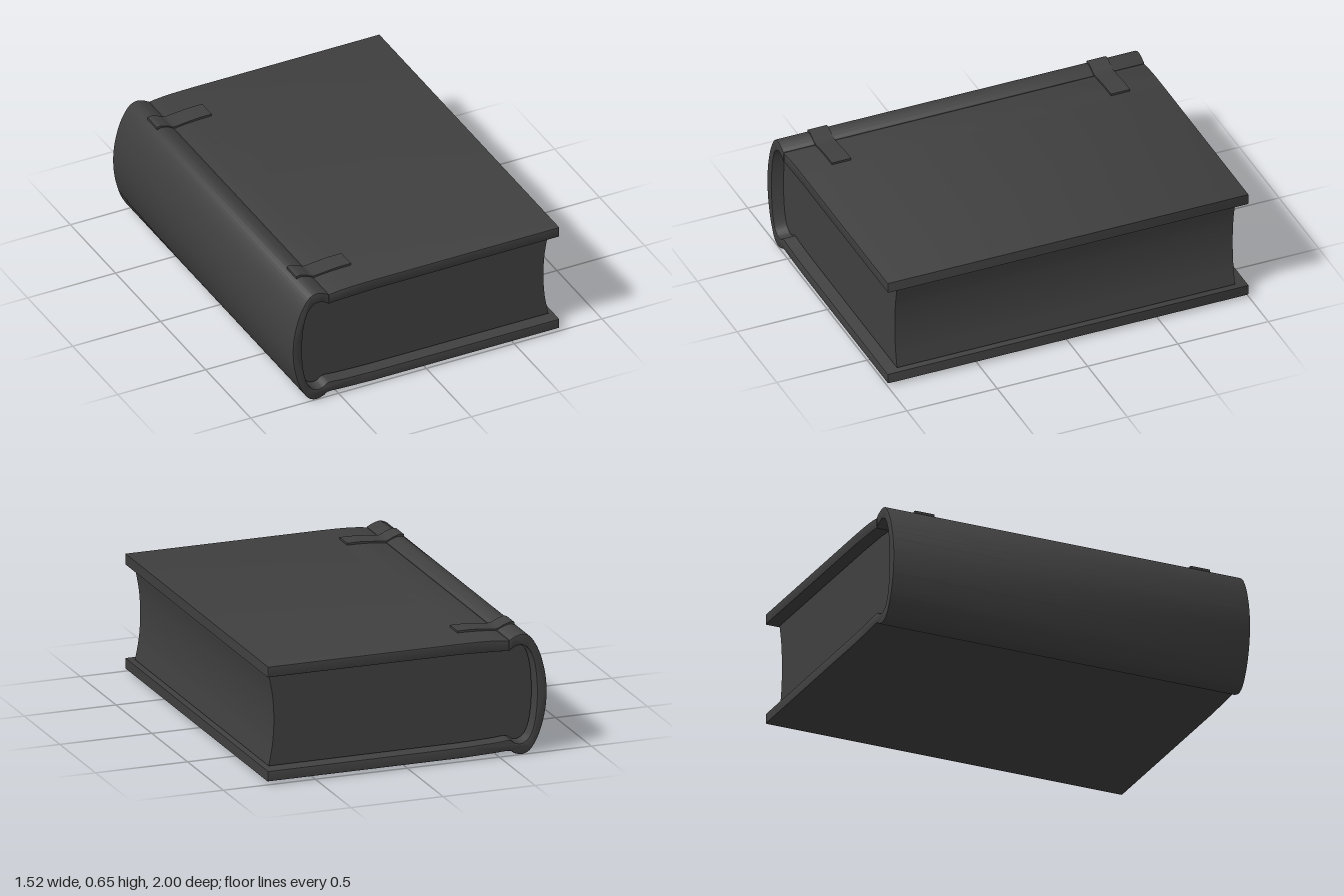
import * as THREE from 'three';
import { toCreasedNormals } from 'three/addons/utils/BufferGeometryUtils.js';

const MID = 0.325; // height of the book's mid plane
const material = new THREE.MeshStandardMaterial({ color: 0x404040 });

// Closed outline from a list of runs; each run is a smooth curve, runs join at sharp corners
function outline(runs) {
  const shape = new THREE.Shape();
  shape.moveTo(...runs[0][0]);
  runs.forEach((run, i) => {
    if (i > 0) shape.lineTo(...run[0]);
    if (run.length > 1) shape.splineThru(run.slice(1).map(([x, y]) => new THREE.Vector2(x, y)));
  });
  shape.closePath();
  return shape;
}

// Outline extruded along z, centred on zMid, with slightly softened ends
function slab(name, runs, length, bevel, zMid = 0) {
  const geometry = new THREE.ExtrudeGeometry(outline(runs), {
    depth: length - 2 * bevel, curveSegments: 40, bevelEnabled: bevel > 0,
    bevelThickness: bevel, bevelSize: bevel, bevelOffset: -bevel, bevelSegments: 2,
  });
  geometry.translate(0, 0, zMid - length / 2 + bevel);
  const mesh = new THREE.Mesh(toCreasedNormals(geometry, 0.5), material);
  mesh.name = name;
  return mesh;
}

// Reflects a run about the mid plane and reverses it
const mirrored = (run) => run.map(([x, y]) => [x, 2 * MID - y]).reverse();

export function createModel() {
  const book = new THREE.Group();
  book.name = 'book';

  // Spine and back board are one bent sheet
  const outerTop = [[-0.555, 0.62], [-0.585, 0.636], [-0.63, 0.645], [-0.675, 0.62], [-0.72, 0.54], [-0.75, 0.43]];
  const innerTop = [[-0.555, 0.562], [-0.59, 0.582], [-0.63, 0.584], [-0.67, 0.547], [-0.696, 0.46]];
  const outer = [...outerTop, [-0.759, MID], ...mirrored(outerTop), [-0.47, 0.027], [-0.3, 0.022]];
  const inner = [...innerTop, [-0.706, MID], ...mirrored(innerTop), [-0.47, 0.083], [-0.3, 0.078]];
  book.add(slab('spineAndBackCover',
    [outer, [[0.757, 0.021]], [[0.757, 0.076]], inner.slice().reverse()], 2, 0.006));

  // Front board, hinged at the groove beside the spine
  book.add(slab('frontCover', [
    [[-0.554, 0.562], [-0.47, 0.567], [-0.3, 0.573]], [[0.757, 0.575]],
    [[0.757, 0.632]], [[-0.3, 0.632], [-0.42, 0.63], [-0.5, 0.625], [-0.554, 0.618]],
  ], 2, 0.006));

  // Page block: rounded at the spine, hollow at the fore edge
  const pageTop = [[-0.3, 0.566], [-0.47, 0.561], [-0.555, 0.556], [-0.59, 0.575], [-0.627, 0.577], [-0.665, 0.543], [-0.69, 0.46]];
  book.add(slab('pages', [
    [...pageTop, [-0.7, MID], ...mirrored(pageTop)],
    [[0.728, 0.082], [0.707, 0.2], [0.7, MID], [0.707, 0.45], [0.728, 0.568]],
  ], 1.87, 0));

  // Two straps lying over the hinge groove
  const strapTop = [[-0.65, 0.653], [-0.63, 0.657], [-0.59, 0.645], [-0.555, 0.63], [-0.5, 0.634], [-0.42, 0.641], [-0.34, 0.642]];
  const strapUnder = strapTop.map(([x, y]) => [x, y - 0.016]).reverse();
  for (const side of [-1, 1]) {
    book.add(slab(side > 0 ? 'frontStrap' : 'rearStrap', [strapTop, strapUnder], 0.106, 0, side * 0.772));
  }
  return book;
}
